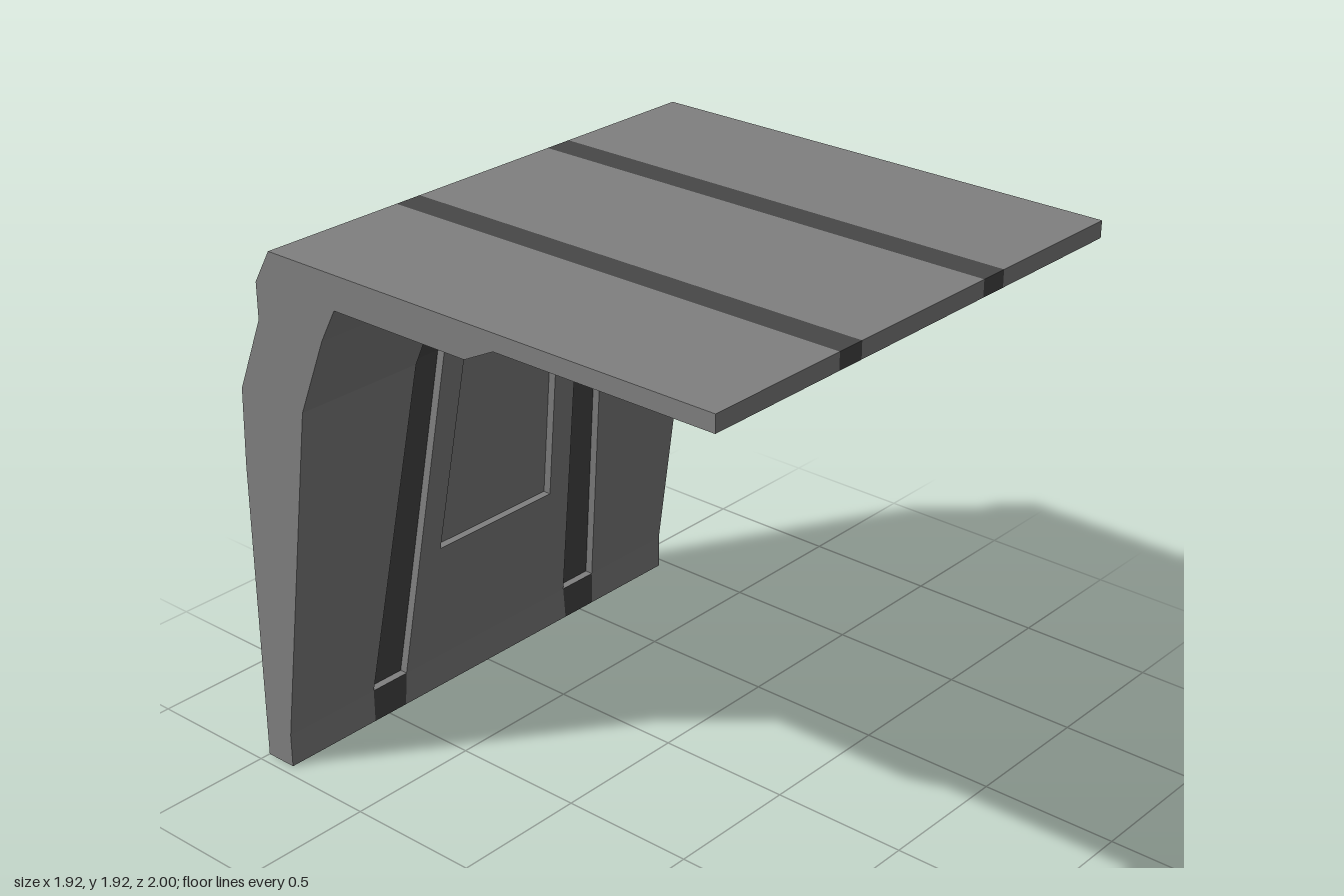
import * as THREE from 'three';

const HALF = 0.96;   // half width of the shell
const DEPTH = 0.03;  // depth of the recesses in the inner wall

// Side profile, each station [z, y, inner x of stripe, outer x of stripe]
const PROFILE = [
  [1, 1.92, 0.305, 0.41], [-0.81, 1.92, 0.305, 0.41],   // roof top
  [-0.88, 1.8, 0.31, 0.425], [-0.88, 1.67, 0.315, 0.44], // rear shoulder
  [-0.99, 1.4, 0.335, 0.46], [-1, 1.12, 0.35, 0.48], [-1, 0, 0.42, 0.57], // back wall
  [-0.88, 0, 0.42, 0.57], [-0.88, 0.125, 0.41, 0.57],    // foot
  [-0.7, 1.4, 0.33, 0.46], [-0.585, 1.68, 0.31, 0.44],   // inner wall
  [-0.52, 1.8, 0.305, 0.43], [0.04, 1.8, 0.305, 0.41],   // roof underside
  [0.16, 1.86, 0.305, 0.41], [1, 1.86, 0.305, 0.41],
];
const FOOT = 8, BEND = 9, GROOVE_END = 10; // stations on the inner wall

function quad(out, a, b, c, d) {
  for (const p of [a, b, c, a, c, d]) out.push(...p);
}

const pushed = ([x, y, z]) => [x, y, z - DEPTH];

// Side walls of a recess whose rim runs counter-clockwise seen from the front
function rimWalls(out, rim) {
  rim.forEach((p, i) => {
    const q = rim[(i + 1) % rim.length];
    quad(out, p, q, pushed(q), pushed(p));
  });
}

function mesh(name, positions, material) {
  const g = new THREE.BufferGeometry();
  g.setAttribute('position', new THREE.Float32BufferAttribute(positions, 3));
  g.computeVertexNormals();
  const m = new THREE.Mesh(g, material);
  m.name = name;
  return m;
}

export function createModel() {
  const group = new THREE.Group();
  group.name = 'canopyWall';
  const bodyMat = new THREE.MeshStandardMaterial({ color: 0x808080, flatShading: true });
  const stripeMat = new THREE.MeshStandardMaterial({ color: 0x474747, flatShading: true });
  const shell = [], panel = [], rims = [];
  const stripes = [[], []];

  // Five columns across the width: body, stripe, body, stripe, body
  const row = ([z, y, xi, xo]) => [-HALF, -xo, -xi, xi, xo, HALF].map((x) => [x, y, z]);
  const rows = PROFILE.map(row);
  rows.forEach((a, i) => {
    const b = rows[(i + 1) % rows.length];
    for (let c = 0; c < 5; c++) {
      const corners = [a[c], a[c + 1], b[c + 1], b[c]];
      if (c % 2) {
        const sunk = i >= FOOT && i < GROOVE_END;
        quad(stripes[(c - 1) / 2], ...(sunk ? corners.map(pushed) : corners));
      } else if (c === 2 && i === FOOT) {
        // Tapered window panel set into the inner wall
        const wallZ = (y) => -0.88 + (0.18 * (y - 0.125)) / 1.275;
        const rim = [[-0.28, 0.6], [0.28, 0.6], [0.23, 1.36], [-0.23, 1.36]]
          .map(([x, y]) => [x, y, wallZ(y)]);
        corners.forEach((p, k) => {
          const n = (k + 1) % 4;
          quad(shell, p, corners[n], rim[n], rim[k]);
        });
        rimWalls(rims, rim);
        quad(panel, ...rim.map(pushed));
      } else {
        quad(shell, ...corners);
      }
    }
  });

  // Edges of the two grooves in the inner wall
  for (const c of [1, 3]) {
    rimWalls(rims, [
      rows[FOOT][c], rows[FOOT][c + 1], rows[BEND][c + 1],
      rows[GROOVE_END][c + 1], rows[GROOVE_END][c], rows[BEND][c],
    ]);
  }

  group.add(
    mesh('shell', shell, bodyMat),
    mesh('windowPanel', panel, bodyMat),
    mesh('recessEdges', rims, bodyMat),
    mesh('rightStripe', stripes[0], stripeMat),
    mesh('leftStripe', stripes[1], stripeMat),
  );

  // Flat ends
  for (const side of [-1, 1]) {
    const shape = new THREE.Shape(PROFILE.map(([z, y]) => new THREE.Vector2(-side * z, y)));
    const end = new THREE.Mesh(new THREE.ShapeGeometry(shape), bodyMat);
    end.rotation.y = (side * Math.PI) / 2;
    end.position.x = side * HALF;
    end.name = side > 0 ? 'leftEnd' : 'rightEnd';
    group.add(end);
  }
  return group;
}
